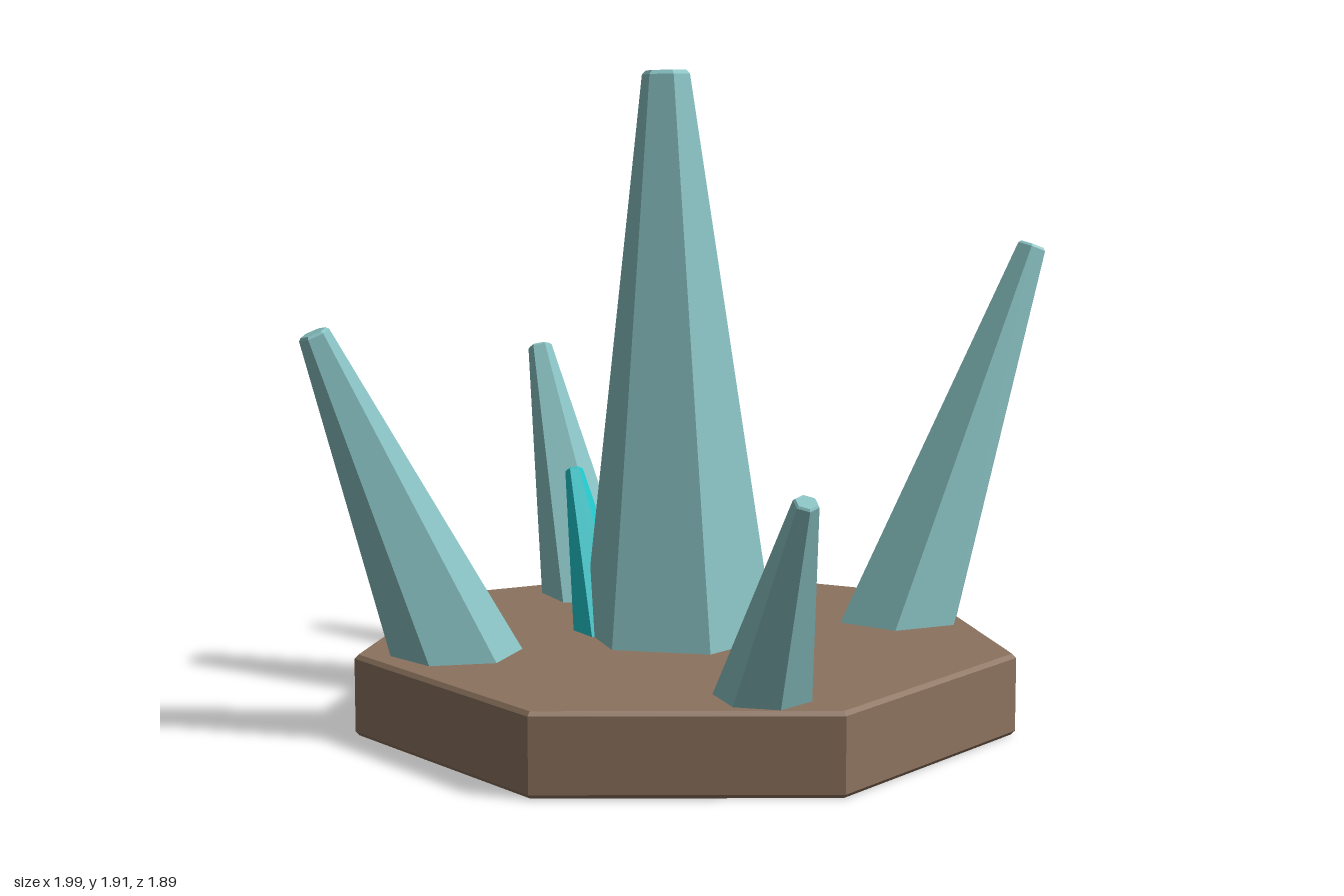
import * as THREE from 'three';

const flat = (name, color) => {
  const m = new THREE.MeshStandardMaterial({ color, flatShading: true });
  m.name = name;
  return m;
};

// Closed faceted solid from a [radius, height] profile; turn = heading of one corner from +x towards +z, in degrees
function faceted(profile, sides, turn) {
  const points = profile.map(([r, y]) => new THREE.Vector2(r, y));
  return new THREE.LatheGeometry(points, sides, THREE.MathUtils.degToRad(90 - turn), Math.PI * 2);
}

export function createModel() {
  const group = new THREE.Group();
  const stone = flat('brown stone', 0x8c725e);
  const paleCrystal = flat('pale blue-green crystal', 0x88c1c2);
  const tealCrystal = flat('bright teal crystal', 0x22c6ca);

  // Seven-sided slab with a thin chamfer
  const top = 0.24, R = 0.98, c = 0.012;
  const slab = new THREE.Mesh(faceted(
    [[0, 0], [R - c, 0], [R, c], [R, top - c], [R - c, top], [0, top]], 7, -90), stone);
  slab.name = 'stoneBase';
  slab.position.set(-0.04, 0, 0.03);
  group.add(slab);

  // Tapered hexagonal crystal leaning from its foot on the slab to its tip
  const up = new THREE.Vector3(0, 1, 0);
  function crystal(name, material, foot, tip, footR, tipR, turn) {
    const start = new THREE.Vector3(foot[0], top, foot[1]);
    const axis = new THREE.Vector3(...tip).sub(start);
    const h = axis.length();
    const sink = 0.12;                              // depth hidden in the slab
    const sunkR = footR + (footR - tipR) * sink / h;
    const bevel = tipR * 0.16;
    const mesh = new THREE.Mesh(faceted(
      [[0, -sink], [sunkR, -sink], [tipR, h - bevel], [tipR - bevel, h], [0, h]], 6, turn), material);
    mesh.name = name;
    mesh.position.copy(start);
    mesh.quaternion.setFromUnitVectors(up, axis.normalize());
    group.add(mesh);
  }

  crystal('mainCrystal', paleCrystal, [-0.01, -0.02], [0.04, 1.905, -0.105], 0.29, 0.072, 3);
  crystal('frontLeftCrystal', paleCrystal, [0.585, 0.38], [0.955, 1.365, 0.595], 0.185, 0.049, 30);
  crystal('backRightCrystal', paleCrystal, [-0.61, -0.375], [-0.92, 1.185, -0.61], 0.178, 0.046, 38);
  crystal('backLeftCrystal', paleCrystal, [0.255, -0.595], [0.388, 0.995, -0.905], 0.146, 0.038, 52);
  crystal('frontRightCrystal', paleCrystal, [-0.48, 0.65], [-0.653, 0.835, 0.913], 0.135, 0.036, 5);
  crystal('smallTealCrystal', tealCrystal, [-0.11, -0.22], [-0.015, 0.695, -0.42], 0.095, 0.027, 45);

  return group;
}
